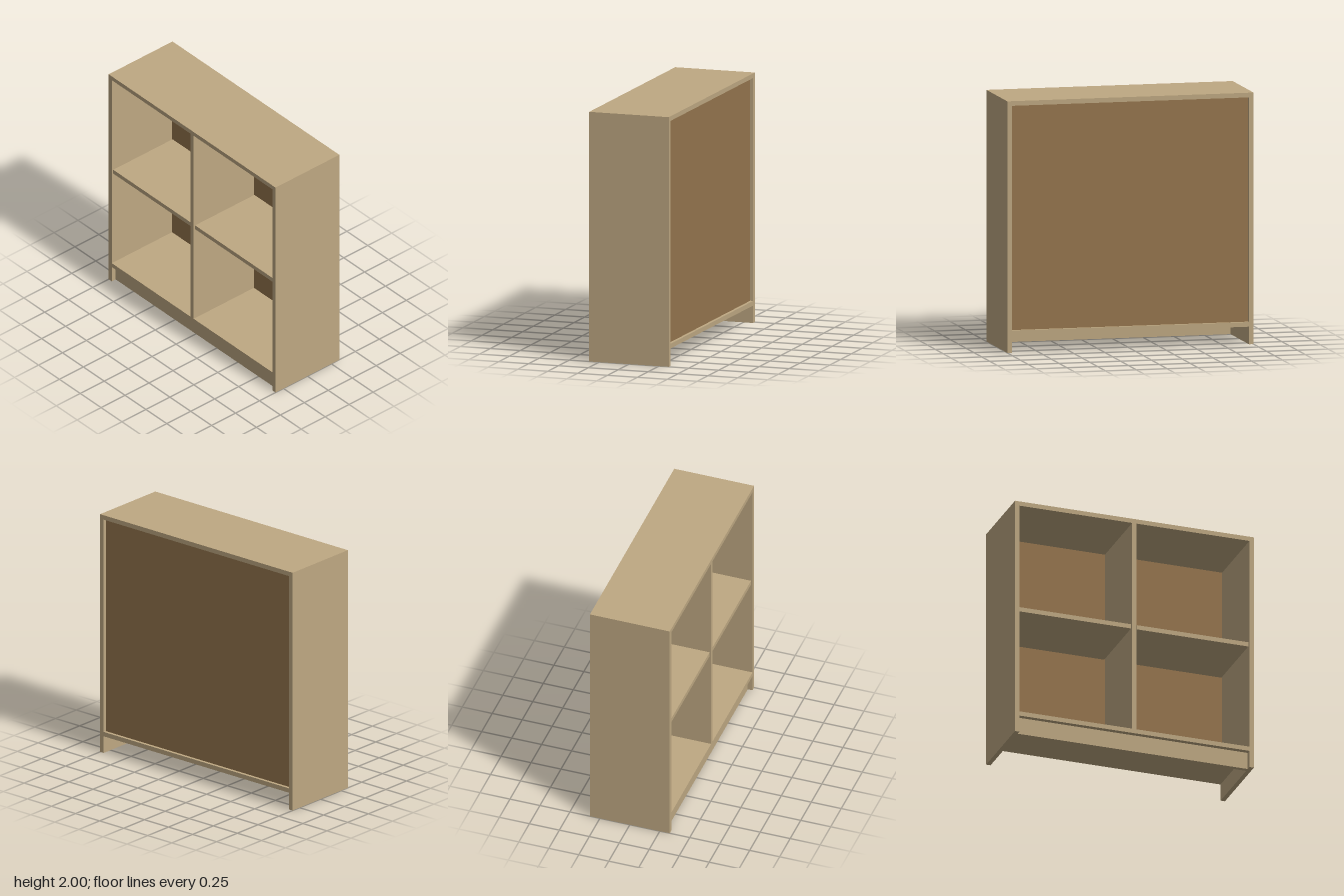
import * as THREE from 'three';

export function createModel() {
  const group = new THREE.Group();
  group.name = 'bookcase';

  const wood = new THREE.MeshStandardMaterial({ color: 0xbea882 });
  wood.name = 'light wood';
  const backing = new THREE.MeshStandardMaterial({ color: 0x95754e });
  backing.name = 'brown backing';

  // Board given by its min and max corners
  function board(name, [x0, y0, z0], [x1, y1, z1], material = wood) {
    const mesh = new THREE.Mesh(new THREE.BoxGeometry(x1 - x0, y1 - y0, z1 - z0), material);
    mesh.position.set((x0 + x1) / 2, (y0 + y1) / 2, (z0 + z1) / 2);
    mesh.name = name;
    group.add(mesh);
  }

  const T = 0.037;          // board thickness
  const D = 0.333;          // half depth
  const IN = 1 - T;         // inner half width
  const FLOOR = 0.177;      // top of the bottom board
  const BACK = -D + 0.025;  // rear face of the backing
  const INNER_BACK = BACK + 0.012;

  // Outer case
  board('leftSide', [IN, 0, -D], [1, 2 - T, D]);
  board('rightSide', [-1, 0, -D], [-IN, 2 - T, D]);
  board('topBoard', [-1, 2 - T, -D], [1, 2, D]);
  board('bottomBoard', [-IN, FLOOR - T, -D], [IN, FLOOR, D]);

  // Recessed plinth under the bottom board
  board('plinth', [-IN, 0, D - 0.04 - T], [IN, FLOOR - T, D - 0.04]);

  // Backing sheet and central divider
  board('backPanel', [-IN, FLOOR, BACK], [IN, 2 - T, INNER_BACK], backing);
  board('divider', [-T / 2, FLOOR, INNER_BACK], [T / 2, 2 - T, D]);

  // Loose shelves with a small gap at each end
  const gap = 0.006;
  const near = T / 2 + gap, far = IN - gap;
  board('leftShelf', [near, 1.05, INNER_BACK], [far, 1.05 + T, D - 0.01]);
  board('rightShelf', [-far, 1.05, INNER_BACK], [-near, 1.05 + T, D - 0.01]);

  return group;
}
